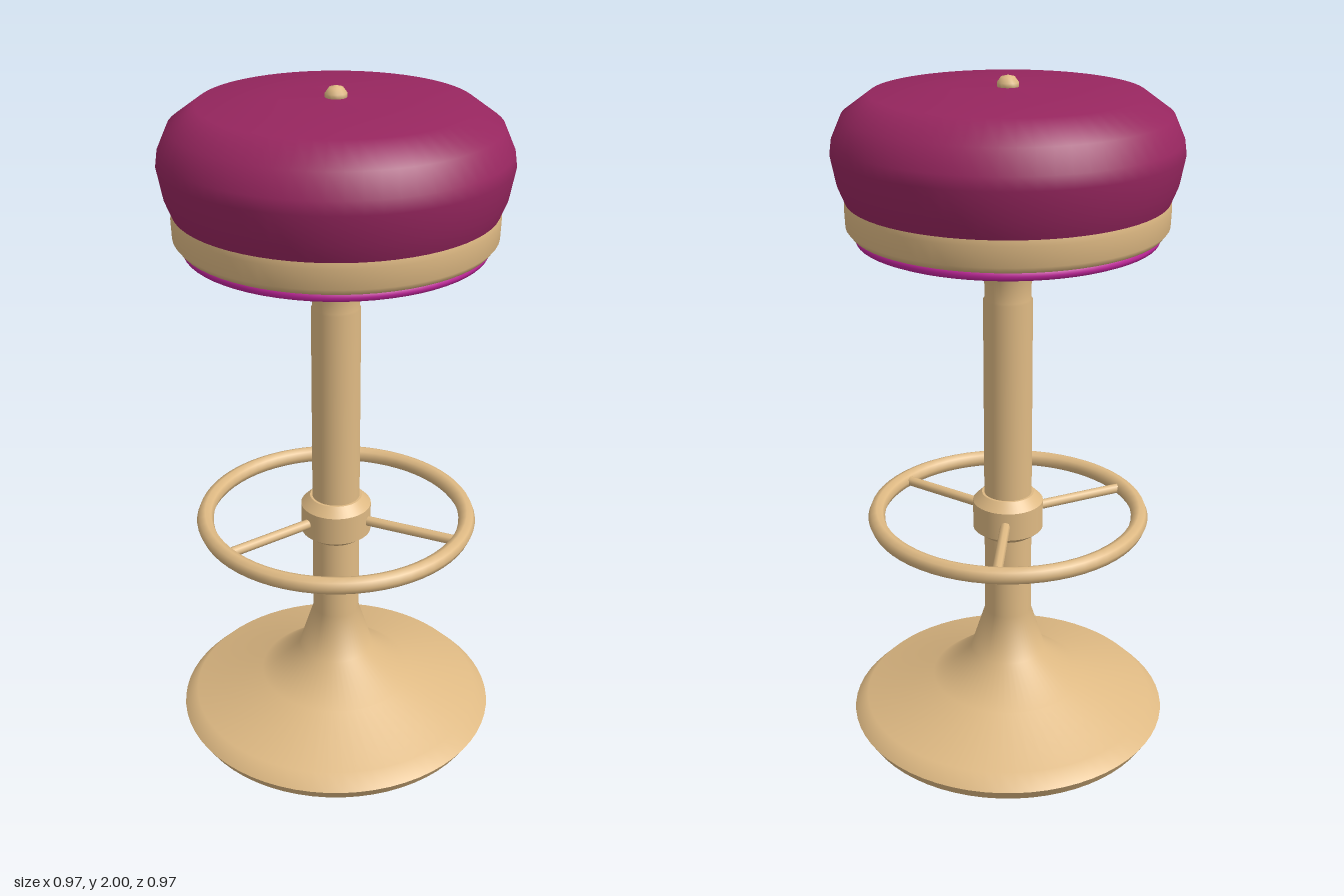
import * as THREE from 'three';

const material = (name, color) => {
  const m = new THREE.MeshStandardMaterial({ color });
  m.name = name;
  return m;
};

export function createModel() {
  const model = new THREE.Group();
  model.name = 'barStool';
  const tan = material('tan', 0xdeb983);
  const plum = material('plum', 0x97265f);
  const magenta = material('magenta', 0xc0259a);

  const add = (name, geometry, mat, parent = model) => {
    const mesh = new THREE.Mesh(geometry, mat);
    mesh.name = name;
    parent.add(mesh);
    return mesh;
  };

  // Turned part from [radius, height, sharp] points running upwards;
  // a sharp point is doubled so its edge stays crisp.
  const turned = (name, profile, mat, segments = 64) => {
    const points = [];
    for (const [r, y, sharp] of profile) {
      points.push(new THREE.Vector2(r, y));
      if (sharp) points.push(new THREE.Vector2(r, y));
    }
    return add(name, new THREE.LatheGeometry(points, segments), mat);
  };

  // Flared foot running up into the column
  turned('pedestal', [
    [0, 0], [0.462, 0, true], [0.485, 0.037, true], [0.445, 0.078],
    [0.235, 0.14], [0.115, 0.235], [0.071, 0.375], [0.071, 1.375],
    [0.067, 1.38], [0.067, 1.45], [0.1, 1.54, true],
  ], tan);

  // Shallow dish under the seat
  turned('seatDish', [
    [0.06, 1.538], [0.1, 1.54], [0.18, 1.555], [0.405, 1.572, true], [0.405, 1.6],
  ], tan);

  // Wooden band around the seat
  turned('seatBand', [
    [0.38, 1.583], [0.435, 1.583], [0.448, 1.6], [0.45, 1.655], [0.447, 1.672, true], [0.4, 1.672],
  ], tan);

  // Coloured trim ring below the band
  const trim = add('trimRing', new THREE.TorusGeometry(0.411, 0.015, 8, 64), magenta);
  trim.rotation.x = Math.PI / 2;
  trim.position.y = 1.57;

  // Padded cushion and its button
  turned('cushion', [
    [0.4, 1.67], [0.447, 1.67, true], [0.467, 1.72], [0.482, 1.8],
    [0.477, 1.835], [0.448, 1.9], [0.372, 1.955], [0.15, 1.964], [0, 1.97],
  ], plum);
  turned('button', [
    [0.02, 1.955], [0.03, 1.968], [0.03, 1.98], [0.019, 1.995], [0, 2],
  ], tan, 12);

  // Foot rest: hub, ring and three spokes
  turned('footRestHub', [
    [0.068, 0.637], [0.078, 0.637, true], [0.105, 0.658, true],
    [0.105, 0.745, true], [0.078, 0.772, true], [0.068, 0.772],
  ], tan, 48);
  const footRest = new THREE.Group();
  footRest.name = 'footRest';
  footRest.position.y = 0.703;
  model.add(footRest);
  add('footRing', new THREE.TorusGeometry(0.395, 0.025, 8, 64), tan, footRest).rotation.x = Math.PI / 2;
  for (let i = 0; i < 3; i++) {
    const spoke = add('spoke', new THREE.CylinderGeometry(0.015, 0.015, 0.31, 8), tan, footRest);
    const angle = (i * Math.PI * 2) / 3;
    spoke.rotation.set(Math.PI / 2, angle, 0, 'YXZ');
    spoke.position.set(Math.sin(angle) * 0.245, 0, Math.cos(angle) * 0.245);
  }
  return model;
}
